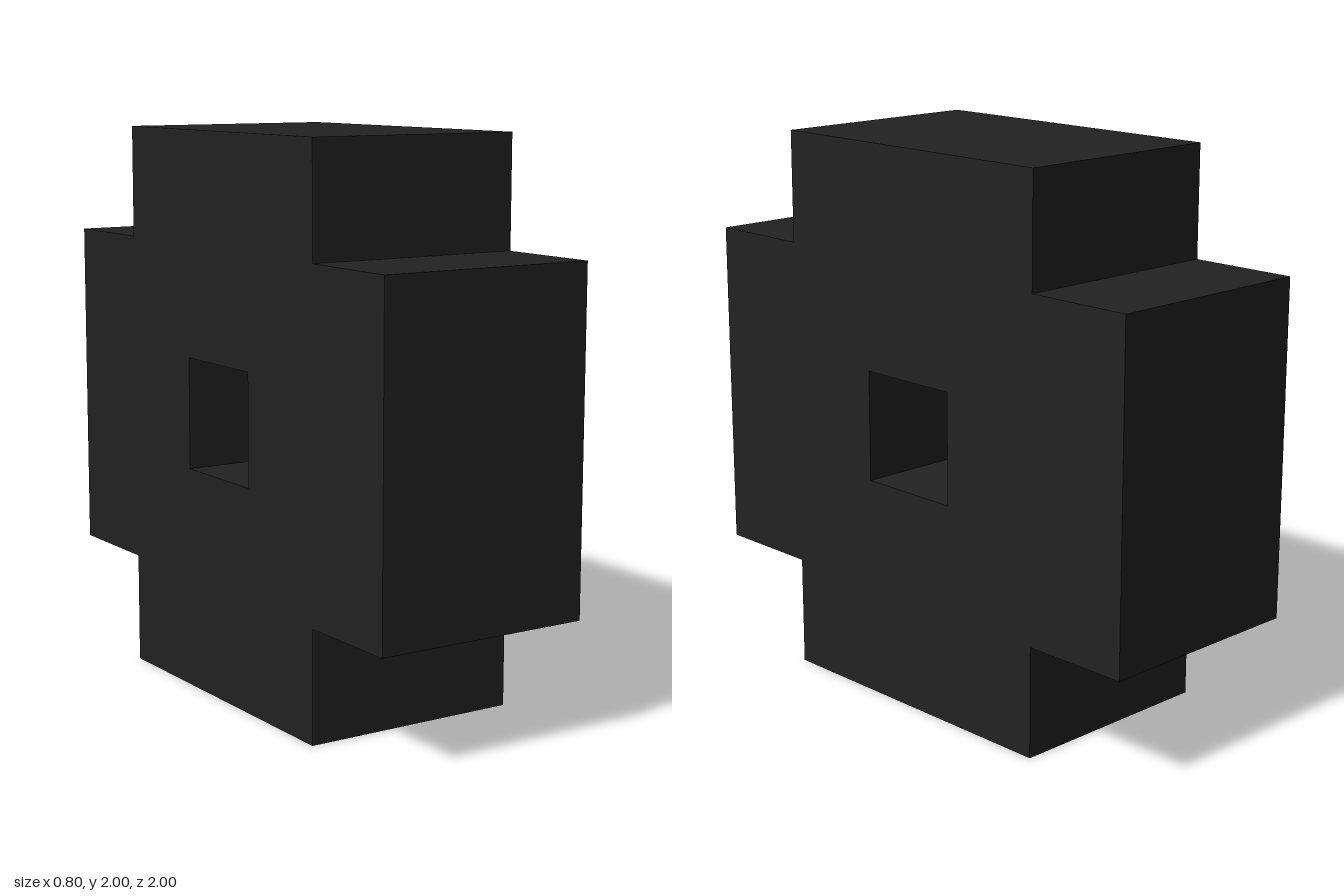
import * as THREE from 'three';

export function createModel() {
  const group = new THREE.Group();
  group.name = 'blockWheel';
  const rubber = new THREE.MeshStandardMaterial({ color: 0x222222 });
  rubber.name = 'black rubber';

  // Stepped outline of the wheel, centred on its axle
  const outline = new THREE.Shape([
    [-0.6, -1], [0.6, -1], [0.6, -0.6], [1, -0.6], [1, 0.6], [0.6, 0.6],
    [0.6, 1], [-0.6, 1], [-0.6, 0.6], [-1, 0.6], [-1, -0.6], [-0.6, -0.6],
  ].map(([x, y]) => new THREE.Vector2(x, y)));

  // Square axle hole
  outline.holes.push(new THREE.Path([
    [-0.2, -0.2], [-0.2, 0.2], [0.2, 0.2], [0.2, -0.2],
  ].map(([x, y]) => new THREE.Vector2(x, y))));

  // Extrude across the width and turn the axle along x
  const width = 0.8;
  const geometry = new THREE.ExtrudeGeometry(outline, { depth: width, bevelEnabled: false });
  geometry.translate(0, 1, -width / 2);
  geometry.rotateY(Math.PI / 2);

  const tire = new THREE.Mesh(geometry, rubber);
  tire.name = 'tire';
  group.add(tire);
  return group;
}
